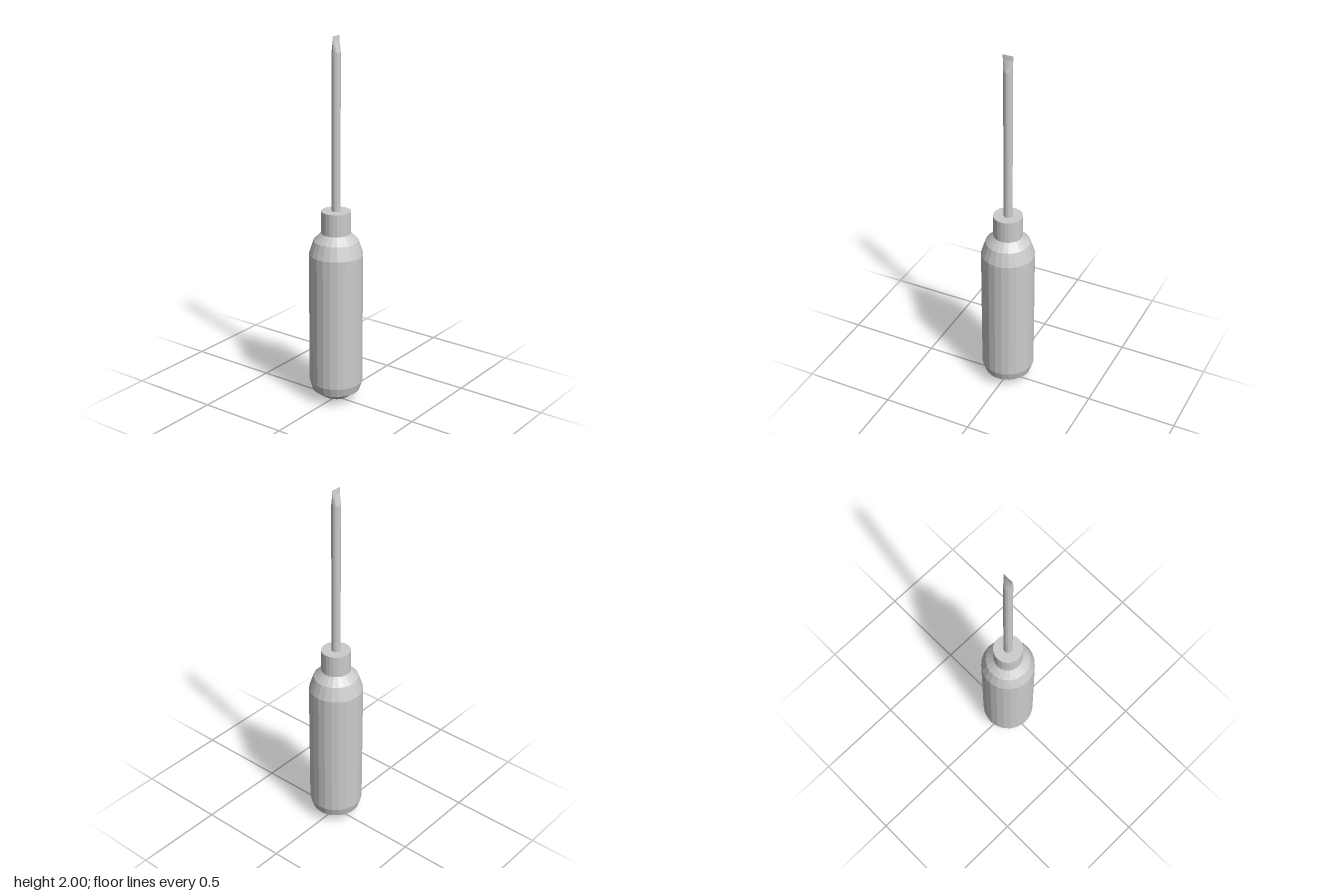
import * as THREE from 'three';

const SIDES = 23;
const material = new THREE.MeshStandardMaterial({ color: 0xcccccc, flatShading: true });

// Faceted solid of revolution from [radius, height] pairs, bottom to top
function lathe(name, profile, sides) {
  const points = profile.map(([r, y]) => new THREE.Vector2(r, y));
  const mesh = new THREE.Mesh(new THREE.LatheGeometry(points, sides), material);
  mesh.rotation.y = Math.PI;
  mesh.name = name;
  return mesh;
}

// Flat blade: a round section squeezed in x and flared in z towards the tip
function createBlade(sides) {
  const sections = [
    // y, half thickness (x), half width (z)
    [1.915, 0.024, 0.024],
    [1.975, 0.005, 0.028],
    [2.0, 0.001, 0.03],
  ];
  const geometry = new THREE.CylinderGeometry(1, 1, 2, sides, sections.length - 1);
  const p = geometry.attributes.position;
  for (let i = 0; i < p.count; i++) {
    const [y, sx, sz] = sections[Math.round(p.getY(i) + 1)];
    p.setXYZ(i, p.getX(i) * sx, y, p.getZ(i) * sz);
  }
  geometry.computeVertexNormals();
  const mesh = new THREE.Mesh(geometry, material);
  mesh.name = 'blade';
  return mesh;
}

export function createModel() {
  const model = new THREE.Group();
  model.name = 'screwdriver';

  // Grip with domed butt and rounded shoulder
  model.add(lathe('handle', [
    [0, 0], [0.07, 0.017], [0.13, 0.06], [0.145, 0.11],
    [0.145, 0.84], [0.12, 0.915], [0.078, 0.957], [0, 0.957],
  ], SIDES));

  // Collar between grip and shaft
  model.add(lathe('collar', [
    [0, 0.95], [0.079, 0.95], [0.079, 1.077], [0, 1.077],
  ], SIDES));

  // Shaft and its flattened tip
  model.add(lathe('shaft', [
    [0, 1.07], [0.024, 1.07], [0.024, 1.915],
  ], 16));
  model.add(createBlade(16));

  return model;
}
